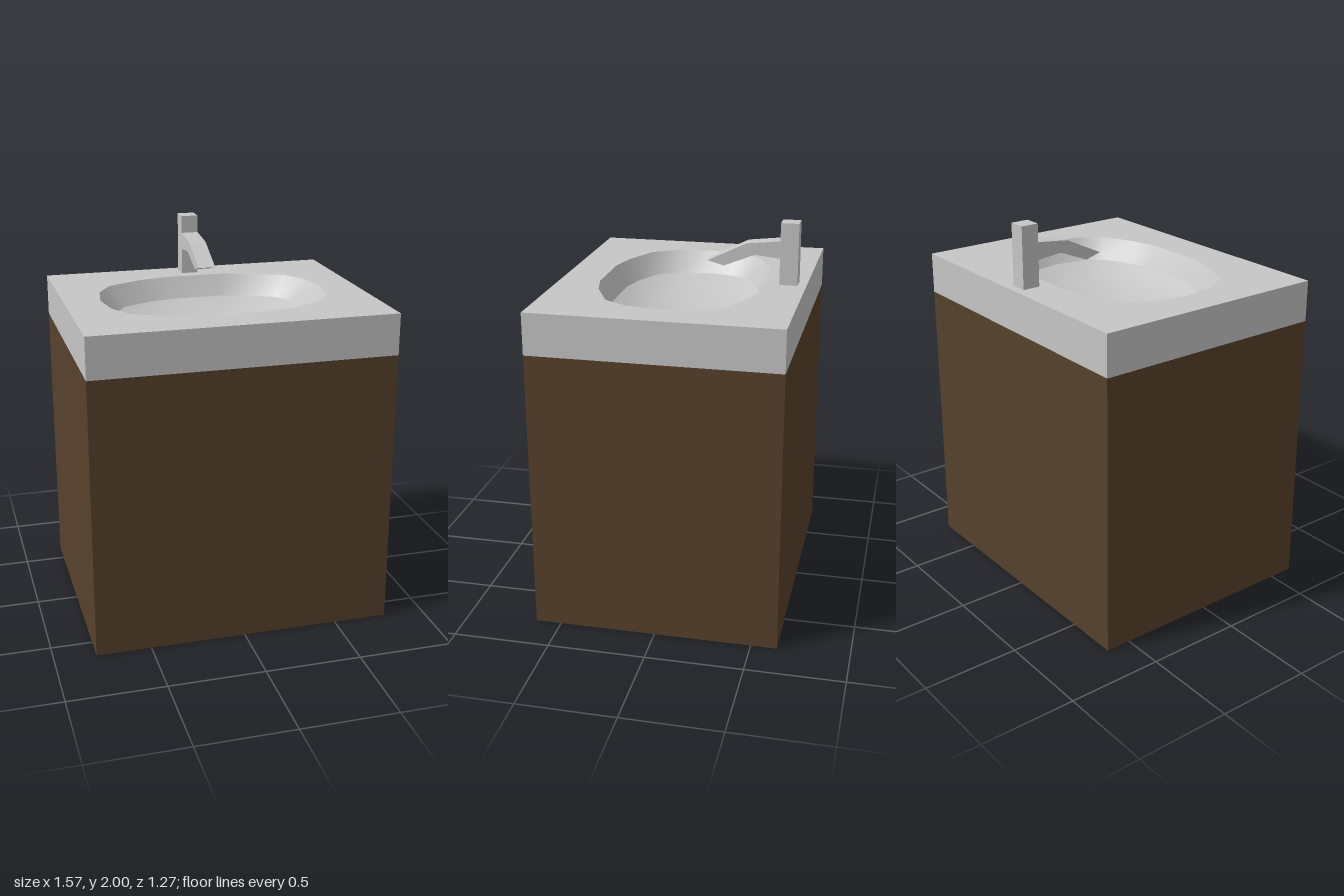
import * as THREE from 'three';

const porcelain = new THREE.MeshStandardMaterial({ color: 0xc6c6c6 });
porcelain.name = 'porcelainGrey';
const wood = new THREE.MeshStandardMaterial({ color: 0x57412c });
wood.name = 'darkWood';

const W = 1.57, D = 1.266, SLAB_Y = 1.465, TOP_Y = 1.68;

// Mirror five [x, z] points of one quarter into a closed 18-point outline
function mirrorQuarter(q) {
  const back = [...q].reverse();
  return [
    ...q,
    ...back.map(([x, z]) => [-x, z]),
    ...q.slice(1).map(([x, z]) => [-x, -z]),
    ...back.slice(0, 4).map(([x, z]) => [x, -z]),
  ];
}

// Blend two outlines
const blend = (a, b, t) => a.map(([x, z], i) => [x + (b[i][0] - x) * t, z + (b[i][1] - z) * t]);

// Smooth upward-facing surface through outlines, listed from outside inwards
function loft(rings) {
  const pos = [], index = [], n = rings[0].outline.length;
  for (const { outline, y } of rings) for (const [x, z] of outline) pos.push(x, y, z);
  for (let r = 0; r < rings.length - 1; r++) {
    for (let i = 0; i < n; i++) {
      const a = r * n + i, b = r * n + (i + 1) % n;
      index.push(a, a + n, b, b, a + n, b + n);
    }
  }
  const g = new THREE.BufferGeometry();
  g.setAttribute('position', new THREE.Float32BufferAttribute(pos, 3));
  g.setIndex(index);
  g.computeVertexNormals();
  return g;
}

const toVectors = (pts) => pts.map(([x, y]) => new THREE.Vector2(x, y));

export function createModel() {
  const model = new THREE.Group();
  model.name = 'washbasinCabinet';
  const add = (name, geometry, material) => {
    const mesh = new THREE.Mesh(geometry, material);
    mesh.name = name;
    model.add(mesh);
    return mesh;
  };

  // Cabinet block
  add('cabinet', new THREE.BoxGeometry(W, SLAB_Y, D), wood).position.y = SLAB_Y / 2;

  // Basin outlines: rim, foot of the wall, drain
  const rim = mirrorQuarter([[0.597, 0], [0.57, 0.175], [0.495, 0.3], [0.31, 0.388], [0.16, 0.423]]);
  const foot = mirrorQuarter([[0.512, 0], [0.487, 0.15], [0.425, 0.256], [0.27, 0.332], [0.14, 0.362]]);
  const drain = mirrorQuarter([[0.092, 0], [0.077, 0.02], [0.061, 0.04], [0.046, 0.061], [0.015, 0.061]]);

  // Countertop slab with the basin opening
  const slab = new THREE.Shape(toVectors([[-W / 2, -D / 2], [W / 2, -D / 2], [W / 2, D / 2], [-W / 2, D / 2]]));
  slab.holes.push(new THREE.Path(toVectors(rim)));
  const slabGeometry = new THREE.ExtrudeGeometry(slab, { depth: TOP_Y - SLAB_Y, bevelEnabled: false });
  slabGeometry.rotateX(-Math.PI / 2).translate(0, SLAB_Y, 0);
  add('countertop', slabGeometry, porcelain);

  // Basin wall, rounded bowl and flat drain
  add('basinWall', loft([{ outline: rim, y: TOP_Y }, { outline: foot, y: 1.57 }]), porcelain);
  add('basinBowl', loft([
    { outline: foot, y: 1.57 },
    { outline: blend(foot, drain, 0.25), y: 1.528 },
    { outline: blend(foot, drain, 0.55), y: 1.498 },
    { outline: drain, y: 1.482 },
  ]), porcelain);
  add('drain', loft([{ outline: drain, y: 1.482 }, { outline: drain.map(() => [0, 0]), y: 1.482 }]), porcelain);

  // Faucet: post and bent spout as one side profile [z, y]
  const faucet = new THREE.Shape(toVectors([
    [-0.587, TOP_Y], [-0.494, TOP_Y], [-0.494, 1.817], [-0.363, 1.83], [-0.205, 1.766],
    [-0.12, 1.79], [-0.32, 1.887], [-0.494, 1.907], [-0.494, 2], [-0.587, 2],
  ]));
  const faucetGeometry = new THREE.ExtrudeGeometry(faucet, { depth: 0.09, bevelEnabled: false });
  faucetGeometry.rotateY(-Math.PI / 2).translate(0.045, 0, 0);
  add('faucet', faucetGeometry, porcelain);

  return model;
}
